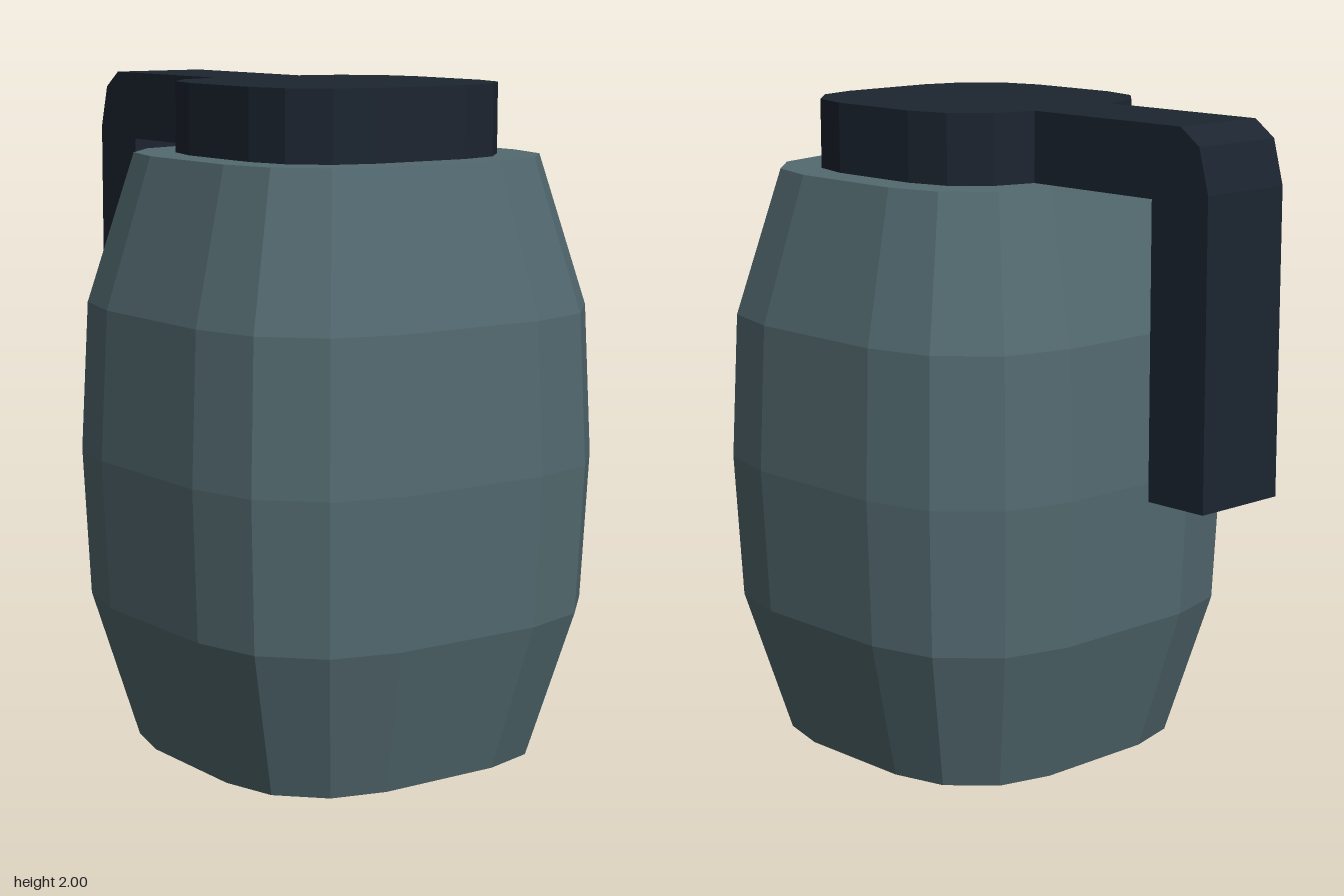
import * as THREE from 'three';

const BODY_Z = 0.21;   // the jug sits forward of the handle
const BODY_H = 1.79;

const bodyMaterial = new THREE.MeshStandardMaterial({ color: 0x536a70, flatShading: true });
const darkMaterial = new THREE.MeshStandardMaterial({ color: 0x1c2530, flatShading: true });

// Rounded-square prism: 16 sides, four corners of three facets each.
// halfAt(t) gives the half width at height fraction t; flat is the share of it that is straight.
function roundedSquarePrism(height, rows, flat, halfAt) {
  const geometry = new THREE.CylinderGeometry(1, 1, height, 16, rows);
  const p = geometry.attributes.position;
  for (let i = 0; i < p.count; i++) {
    const x = p.getX(i), z = p.getZ(i);
    if (Math.hypot(x, z) < 0.01) continue; // cap centres stay put
    const k = (Math.round(Math.atan2(x, z) / (Math.PI / 8)) + 16) % 16;
    const corner = Math.floor(k / 4);
    const angle = corner * Math.PI / 2 + (k % 4) * Math.PI / 6;
    const middle = corner * Math.PI / 2 + Math.PI / 4;
    const half = halfAt(p.getY(i) / height + 0.5);
    p.setX(i, half * (flat * Math.sign(Math.sin(middle)) + (1 - flat) * Math.sin(angle)));
    p.setZ(i, half * (flat * Math.sign(Math.cos(middle)) + (1 - flat) * Math.cos(angle)));
  }
  geometry.translate(0, height / 2, 0);
  geometry.computeVertexNormals();
  return geometry;
}

function addPart(group, name, geometry, material) {
  const mesh = new THREE.Mesh(geometry, material);
  mesh.name = name;
  group.add(mesh);
  return mesh;
}

export function createModel() {
  const model = new THREE.Group();
  model.name = 'jug';

  // Barrel-shaped body
  const halves = [0.525, 0.65, 0.67, 0.65, 0.525];
  const body = addPart(model, 'body',
    roundedSquarePrism(BODY_H, 4, 0.37, t => halves[Math.round(t * 4)]), bodyMaterial);
  body.position.z = BODY_Z;

  // Lid
  const lid = addPart(model, 'lid', roundedSquarePrism(2 - BODY_H, 1, 0.375, () => 0.415), darkMaterial);
  lid.position.set(0, BODY_H, BODY_Z);

  // Handle: side profile as (distance to the back, height), extruded across the width
  const profile = [
    [0.205, 2], [0.205, BODY_H], [0.675, BODY_H], [0.675, 0.92],
    [0.885, 0.92], [0.885, 1.82], [0.85, 1.95], [0.78, 2],
  ].map(([x, y]) => new THREE.Vector2(x, y));
  const handle = new THREE.ExtrudeGeometry(new THREE.Shape(profile), { depth: 0.31, bevelEnabled: false });
  handle.translate(0, 0, -0.155);
  handle.rotateY(Math.PI / 2);
  addPart(model, 'handle', handle, darkMaterial);

  return model;
}
